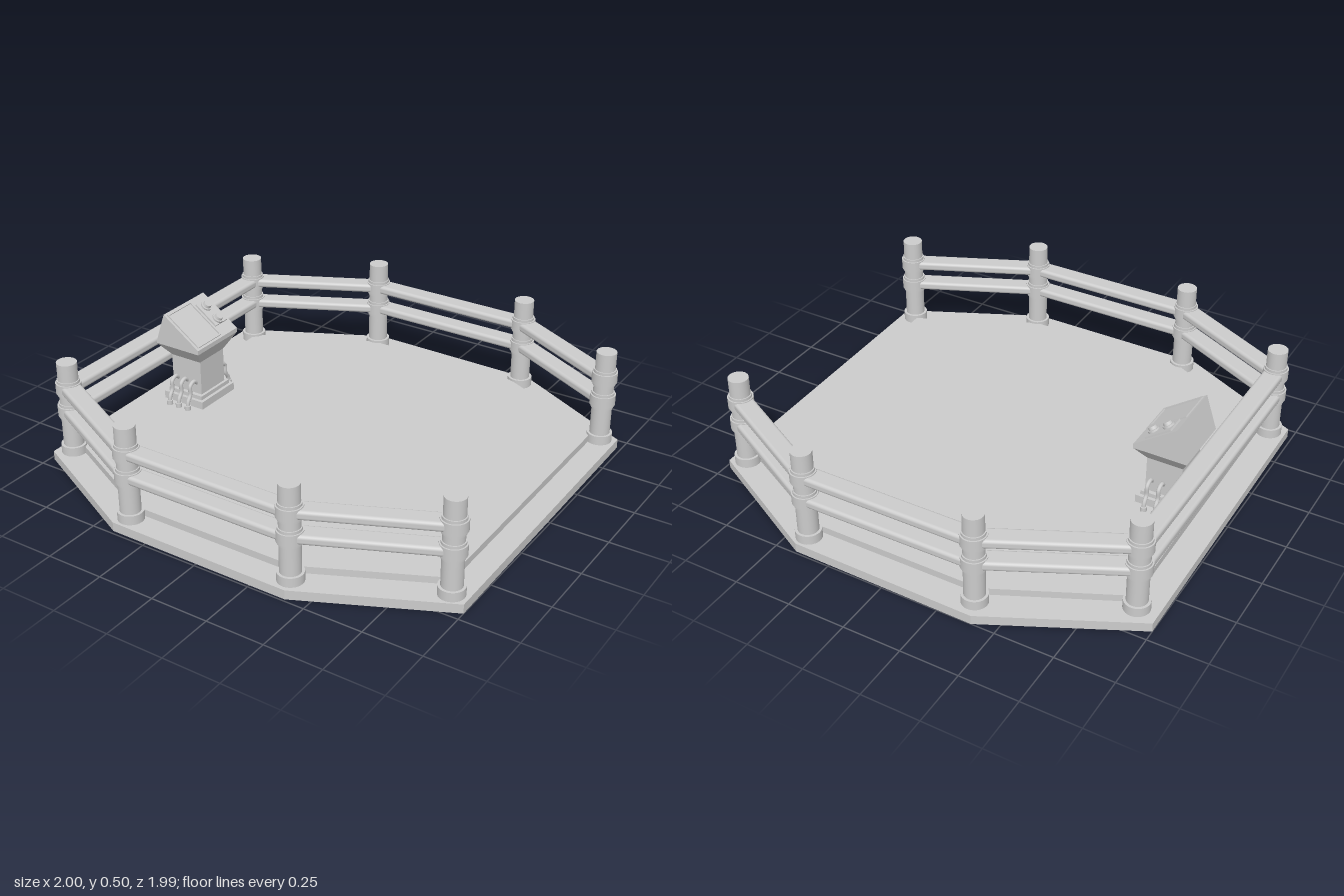
import * as THREE from 'three';
import { RoundedBoxGeometry } from 'three/addons/geometries/RoundedBoxGeometry.js';

const material = new THREE.MeshStandardMaterial({ color: 0xcccccc });

function add(parent, name, geometry, x = 0, y = 0, z = 0) {
  const mesh = new THREE.Mesh(geometry, material);
  mesh.name = name;
  mesh.position.set(x, y, z);
  parent.add(mesh);
  return mesh;
}

// Flat slab from [x, z] corners, standing on y
function slab(parent, name, corners, y, height) {
  const shape = new THREE.Shape(corners.map(([x, z]) => new THREE.Vector2(x, -z)));
  const geometry = new THREE.ExtrudeGeometry(shape, { depth: height, bevelEnabled: false });
  geometry.rotateX(-Math.PI / 2);
  return add(parent, name, geometry, 0, y, 0);
}

// Post with a base collar and two rail collars
function makePost(x, z) {
  const post = new THREE.Group();
  post.name = 'post';
  post.position.set(x, 0, z);
  const ring = (name, r, y0, y1) =>
    add(post, name, new THREE.CylinderGeometry(r, r, y1 - y0, 28), 0, (y0 + y1) / 2, 0);
  ring('postShaft', 0.043, 0.04, 0.46);
  ring('baseCollar', 0.054, 0.04, 0.08);
  for (const y of [0.24, 0.345]) {
    ring('railCollar', 0.054, y - 0.024, y + 0.024);
    ring('collarStep', 0.048, y - 0.036, y + 0.036);
  }
  return post;
}

// Rail between two posts
function addRail(parent, a, b, y) {
  const dx = b[0] - a[0], dz = b[1] - a[1];
  const geometry = new RoundedBoxGeometry(Math.hypot(dx, dz) + 0.03, 0.04, 0.085, 3, 0.014);
  const rail = add(parent, 'rail', geometry, (a[0] + b[0]) / 2, y, (a[1] + b[1]) / 2);
  rail.rotation.y = Math.atan2(-dz, dx);
}

function makeConsole() {
  const group = new THREE.Group();
  group.name = 'controlConsole';
  group.position.set(-0.745, 0, -0.005);

  // Foot and pedestal
  add(group, 'consoleFoot', new THREE.BoxGeometry(0.21, 0.035, 0.23), 0, 0.0875, 0);
  add(group, 'consoleFootStep', new THREE.BoxGeometry(0.18, 0.02, 0.2), 0, 0.113, 0);
  add(group, 'pedestal', new THREE.BoxGeometry(0.155, 0.18, 0.165), 0, 0.2, 0);

  // Flared neck
  const neck = new THREE.BoxGeometry(0.23, 0.07, 0.28).toNonIndexed();
  const p = neck.attributes.position;
  for (let i = 0; i < p.count; i++) {
    if (p.getY(i) < 0) p.setXYZ(i, p.getX(i) * 0.67, p.getY(i), p.getZ(i) * 0.59);
  }
  neck.computeVertexNormals();
  add(group, 'flaredNeck', neck, 0, 0.315, 0);

  // Wedge-shaped head
  const profile = new THREE.Shape([[-0.115, 0.35], [0.115, 0.35], [0.115, 0.37], [-0.065, 0.497]]
    .map(([x, y]) => new THREE.Vector2(x, y)));
  const head = new THREE.ExtrudeGeometry(profile, { depth: 0.28, bevelEnabled: false });
  add(group, 'consoleHead', head, 0, 0, -0.14);

  // Sloped panel: local x runs down the slope, local y points out of it
  const panel = new THREE.Group();
  panel.name = 'slopedPanel';
  panel.position.set(0.025, 0.4335, 0);
  panel.rotation.z = -Math.atan2(0.127, 0.18);
  group.add(panel);
  const frame = (name, w, d, z) => {
    for (const s of [-1, 1]) {
      add(panel, name, new THREE.BoxGeometry(w, 0.008, 0.007), 0, 0.002, z + s * d / 2);
      add(panel, name, new THREE.BoxGeometry(0.007, 0.008, d + 0.007), s * (w / 2 - 0.0035), 0.002, z);
    }
  };
  frame('screenFrame', 0.2, 0.155, 0.047);
  add(panel, 'buttonPlate', new THREE.BoxGeometry(0.13, 0.012, 0.085), -0.01, 0.002, -0.086);
  for (const x of [-0.045, 0.03]) {
    add(panel, 'buttonCollar', new THREE.CylinderGeometry(0.026, 0.026, 0.01, 24), x, 0.011, -0.084);
    add(panel, 'button', new THREE.CylinderGeometry(0.017, 0.02, 0.018, 24), x, 0.02, -0.084);
  }

  // Cables looping from the pedestal to the floor
  for (const side of [-1, 1]) {
    for (const x of [-0.05, 0, 0.05]) {
      const path = new THREE.CatmullRomCurve3([[0.07, 0.165], [0.1, 0.188], [0.126, 0.175],
        [0.128, 0.135], [0.146, 0.105], [0.15, 0.068]]
        .map(([z, y]) => new THREE.Vector3(x, y, side * z)));
      add(group, 'cable', new THREE.TubeGeometry(path, 24, 0.009, 8));
      add(group, 'cableSocket', new THREE.CylinderGeometry(0.014, 0.014, 0.02, 12), x, 0.08, side * 0.15);
    }
  }
  return group;
}

export function createModel() {
  const model = new THREE.Group();
  model.name = 'railedPlatform';

  // Octagonal base and raised floor
  slab(model, 'base', [[-0.4, -1], [0.41, -0.99], [0.98, -0.69], [1, 0.71],
    [0.41, 0.99], [-0.41, 0.985], [-0.98, 0.7], [-1, -0.7]], 0, 0.04);
  slab(model, 'raisedFloor', [[-0.37, -0.88], [0.37, -0.88], [0.88, -0.62], [0.895, 0.63],
    [0.37, 0.88], [-0.37, 0.88], [-0.87, 0.63], [-0.885, -0.63]], 0.03, 0.04);

  // Posts and rails, leaving the left side open as the entrance
  const posts = [[0.91, 0.675], [0.39, 0.92], [-0.37, 0.92], [-0.91, 0.645],
    [-0.91, -0.65], [-0.37, -0.92], [0.39, -0.925], [0.91, -0.65]];
  posts[0][0] = 0.93;
  posts.forEach((post, i) => {
    model.add(makePost(...post));
    if (i < posts.length - 1) {
      for (const y of [0.24, 0.345]) addRail(model, post, posts[i + 1], y);
    }
  });

  model.add(makeConsole());
  return model;
}
